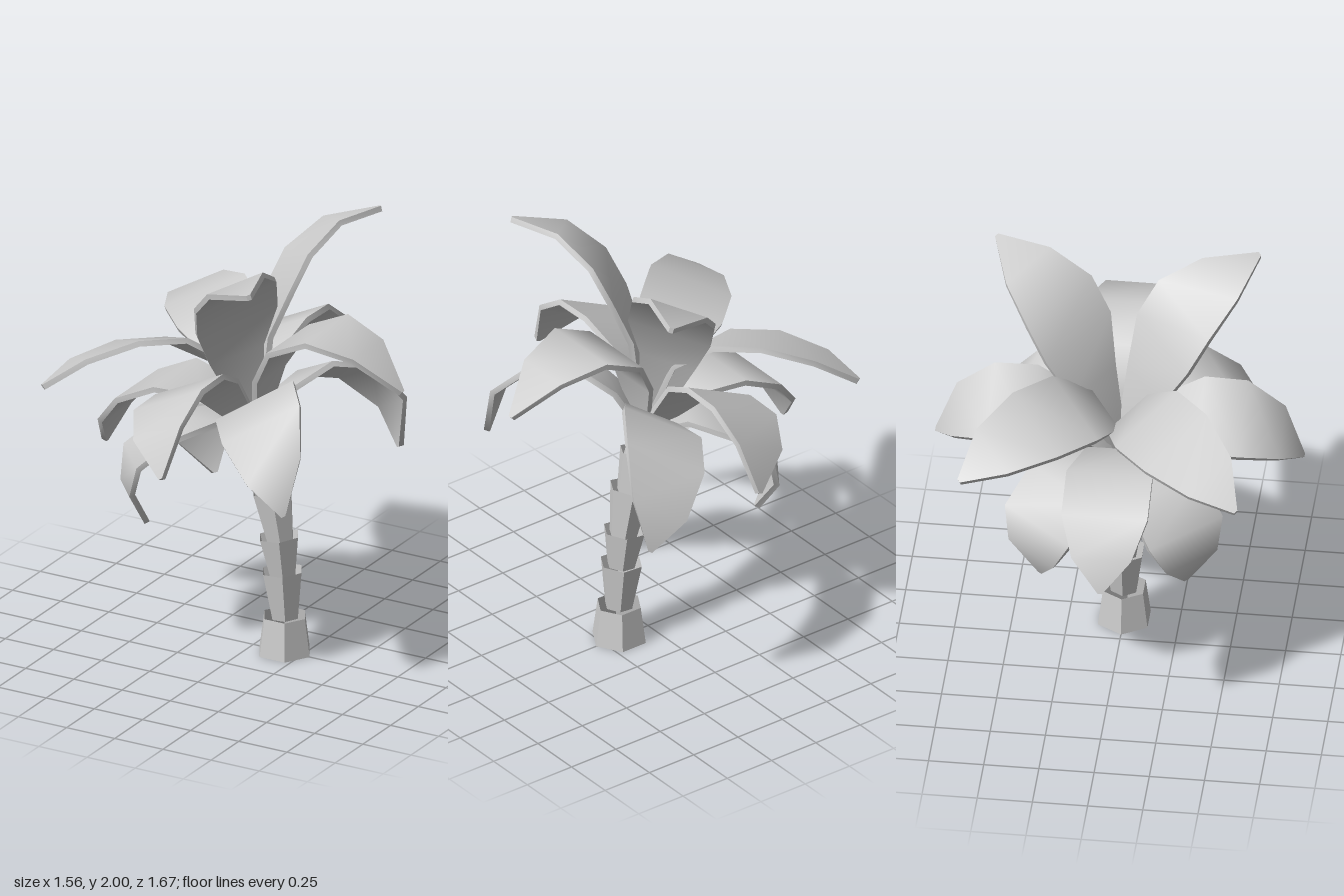
import * as THREE from 'three';
import { toCreasedNormals } from 'three/addons/utils/BufferGeometryUtils.js';

const V = (a) => new THREE.Vector3(...a);
const flip = ([x, y, z]) => [x, y, -z];
const ROOT = [0.025, 1.04, 0];
const HALF_WIDTHS = [0.03, 0.13, 0.195, 0.195, 0.135, 0.01];
const THICKNESS = 0.026;

// Thick leaf blade: rectangular cross-sections swept along a curved spine,
// with "across" pointing from one edge of the blade to the other.
// The blade is built relative to the root, so it can pivot there.
function leafGeometry(spine, across) {
  const pts = [ROOT, ...spine].map((p) => V(p).sub(V(ROOT)));
  const u = V(across).normalize();
  const pos = [], index = [];
  pts.forEach((p, i) => {
    const t = pts[Math.min(i + 1, pts.length - 1)].clone().sub(pts[Math.max(i - 1, 0)]);
    const n = t.cross(u).normalize();
    for (const [a, b] of [[-1, -1], [1, -1], [1, 1], [-1, 1]]) {
      const c = p.clone().addScaledVector(u, a * HALF_WIDTHS[i]).addScaledVector(n, b * THICKNESS / 2);
      pos.push(c.x, c.y, c.z);
    }
  });
  for (let i = 0; i < pts.length - 1; i++) {
    for (let j = 0; j < 4; j++) {
      const a = i * 4 + j, b = i * 4 + (j + 1) % 4;
      index.push(a, b, b + 4, a, b + 4, a + 4);
    }
  }
  const e = (pts.length - 1) * 4;
  index.push(0, 3, 2, 0, 2, 1, e, e + 1, e + 2, e, e + 2, e + 3);
  const g = new THREE.BufferGeometry();
  g.setAttribute('position', new THREE.Float32BufferAttribute(pos, 3));
  g.setIndex(index);
  return toCreasedNormals(g, 0.9);
}

// Spines run from the crown to the tip. Leaves with "backTurn" are mirrored
// to the back and turned a little there, so the two sides differ slightly.
const LEAVES = [
  { name: 'leftLeaf', across: [0, 0, 1],
    spine: [[0.08, 1.34, 0], [0.185, 1.52, 0], [0.38, 1.61, 0], [0.59, 1.555, 0], [0.77, 1.39, 0]] },
  { name: 'rightLeaf', across: [0, 0, 1],
    spine: [[-0.2, 1.21, 0], [-0.405, 1.23, 0], [-0.6, 1.135, 0], [-0.72, 0.99, 0], [-0.77, 0.84, 0]] },
  { name: 'sideLeaf', across: [0.9, 0.44, 0], backTurn: [0, 0, 0],
    spine: [[-0.08, 1.31, 0.2], [-0.11, 1.375, 0.38], [-0.11, 1.37, 0.57], [-0.07, 1.28, 0.735], [0, 1.11, 0.825]] },
  { name: 'topLeaf', across: [0.69, 0.3, -0.66], backTurn: [0, 0, 0],
    spine: [[-0.02, 1.46, 0.12], [0.025, 1.665, 0.195], [0.07, 1.825, 0.285], [0.16, 1.945, 0.435], [0.32, 1.98, 0.595]] },
  { name: 'upperRightLeaf', across: [0.67, 0.36, 0.64], backTurn: [0, -0.05, -0.04],
    spine: [[-0.14, 1.38, 0.06], [-0.31, 1.48, 0.16], [-0.475, 1.485, 0.31], [-0.63, 1.425, 0.48], [-0.74, 1.325, 0.61]] },
  { name: 'lowerLeftLeaf', across: [0.69, 0.42, -0.59], backTurn: [-0.12, 0.08, -0.04],
    spine: [[0.08, 1.22, 0.1], [0.16, 1.31, 0.26], [0.29, 1.285, 0.43], [0.425, 1.135, 0.555], [0.48, 0.935, 0.565]] },
  { name: 'lowerRightLeaf', across: [0.62, 0.1, 0.78], backTurn: [0, 0.06, 0],
    spine: [[-0.14, 1.13, 0.11], [-0.3, 1.08, 0.24], [-0.43, 0.95, 0.345], [-0.44, 0.81, 0.37], [-0.36, 0.645, 0.335]] },
];

// Trunk pieces: bottom centre, top centre (x, y), bottom and top radius.
const TRUNK = [
  [0.162, 0, 0.162, 0.18, 0.13, 0.105],
  [0.165, 0.17, 0.15, 0.395, 0.066, 0.1],
  [0.152, 0.38, 0.133, 0.56, 0.066, 0.099],
  [0.14, 0.54, 0.098, 0.775, 0.066, 0.099],
  [0.105, 0.75, 0.055, 0.945, 0.06, 0.088],
  [0.08, 0.88, 0.02, 1.1, 0.06, 0.05],
];

export function createModel() {
  const model = new THREE.Group();
  model.name = 'palmTree';

  // Stacked six-sided open cups, each leaning a little more
  const bark = new THREE.MeshStandardMaterial({ color: 0xcccccc, flatShading: true, side: THREE.DoubleSide });
  const trunk = new THREE.Group();
  trunk.name = 'trunk';
  for (const [x0, y0, x1, y1, r0, r1] of TRUNK) {
    const a = V([x0, y0, 0]), b = V([x1, y1, 0]);
    const g = new THREE.CylinderGeometry(r1, r0, a.distanceTo(b), 6, 1, true);
    g.rotateY(Math.PI / 6);
    const piece = new THREE.Mesh(g, bark);
    piece.name = 'trunkSegment';
    piece.position.copy(a).add(b).multiplyScalar(0.5);
    piece.quaternion.setFromUnitVectors(V([0, 1, 0]), b.sub(a).normalize());
    trunk.add(piece);
  }
  model.add(trunk);

  // Crown of arching leaves
  const foliage = new THREE.MeshStandardMaterial({ color: 0xcccccc });
  const crown = new THREE.Group();
  crown.name = 'crown';
  crown.position.set(...ROOT);
  const addLeaf = (name, spine, across, turn) => {
    const leaf = new THREE.Mesh(leafGeometry(spine, across), foliage);
    leaf.name = name;
    leaf.rotation.set(...turn);
    crown.add(leaf);
  };
  for (const { name, across, spine, backTurn } of LEAVES) {
    addLeaf(backTurn ? name + 'Front' : name, spine, across, [0, 0, 0]);
    if (backTurn) addLeaf(name + 'Back', spine.map(flip), flip(across), backTurn);
  }
  model.add(crown);
  return model;
}
